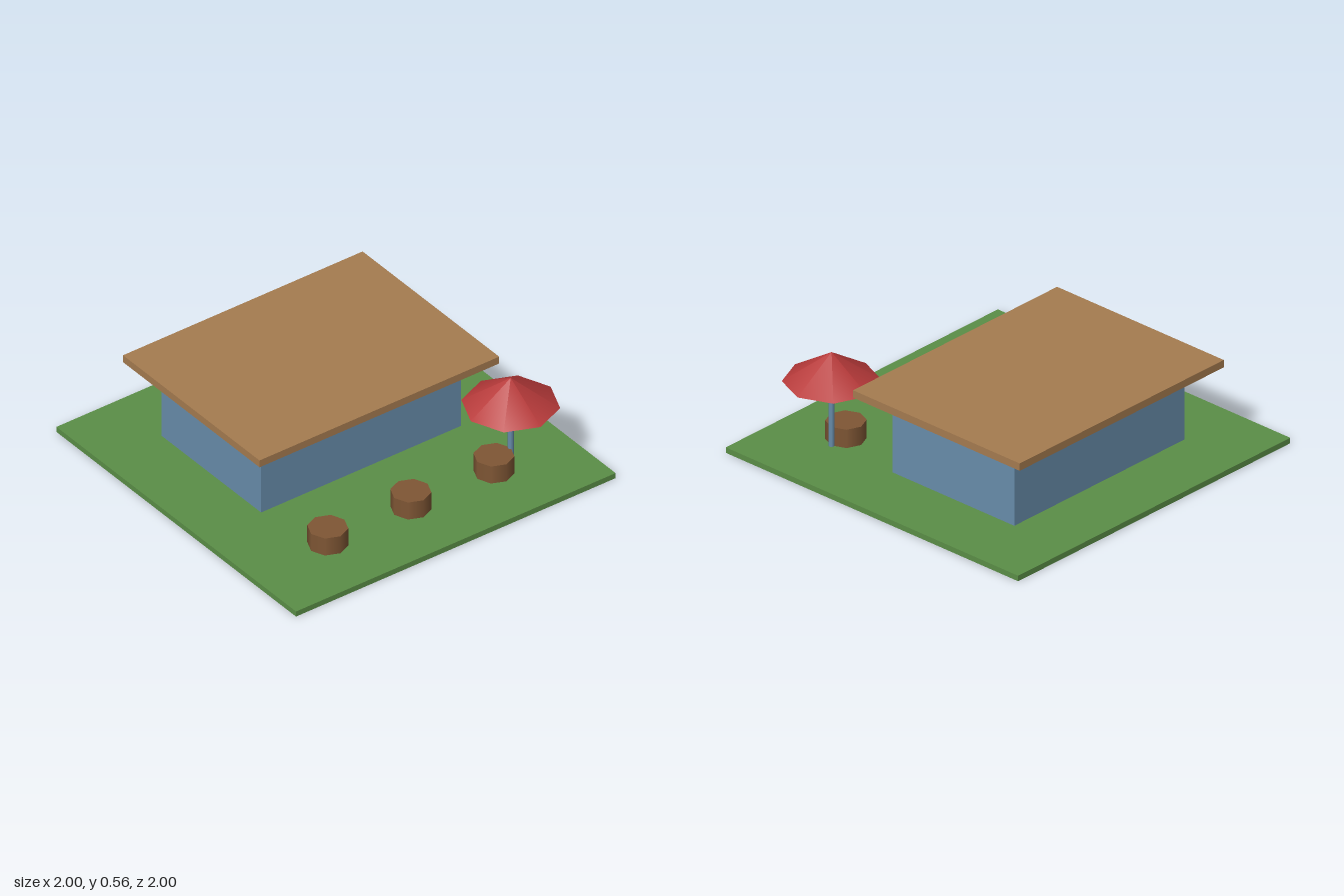
import * as THREE from 'three';

export function createModel() {
  const model = new THREE.Group();
  const material = (name, color) => {
    const m = new THREE.MeshStandardMaterial({ color });
    m.name = name;
    return m;
  };
  const grass = material('grass green', 0x5b8f47);
  const wall = material('wall blue', 0x688dab);
  const timber = material('roof tan', 0xa67c50);
  const wood = material('stool brown', 0x805735);
  const canvas = material('canopy red', 0xb83a3a);

  // Adds a named part standing on height y
  const add = (name, geometry, mat, x, y, z, height) => {
    const mesh = new THREE.Mesh(geometry, mat);
    mesh.name = name;
    mesh.position.set(x, y + height / 2, z);
    model.add(mesh);
  };
  const box = (name, mat, w, h, d, y, z) =>
    add(name, new THREE.BoxGeometry(w, h, d), mat, 0, y, z, h);

  // Lawn, building and overhanging flat roof
  box('lawn', grass, 2, 0.031, 2, 0, 0);
  box('building', wall, 1.25, 0.417, 0.833, 0.031, -0.208);
  box('roof', timber, 1.5, 0.042, 1.14, 0.448, -0.208);

  // Row of octagonal stools along the front
  for (const x of [-0.52, 0, 0.52]) {
    add('stool', new THREE.CylinderGeometry(0.104, 0.104, 0.104, 8), wood, x, 0.031, 0.625, 0.104);
  }

  // Parasol: pole and eight-sided canopy
  add('parasolPole', new THREE.CylinderGeometry(0.0156, 0.0156, 0.417, 8), wall, 0.625, 0.031, 0.625, 0.417);
  add('parasolCanopy', new THREE.ConeGeometry(0.25, 0.16, 8), canvas, 0.625, 0.402, 0.625, 0.16);

  return model;
}
